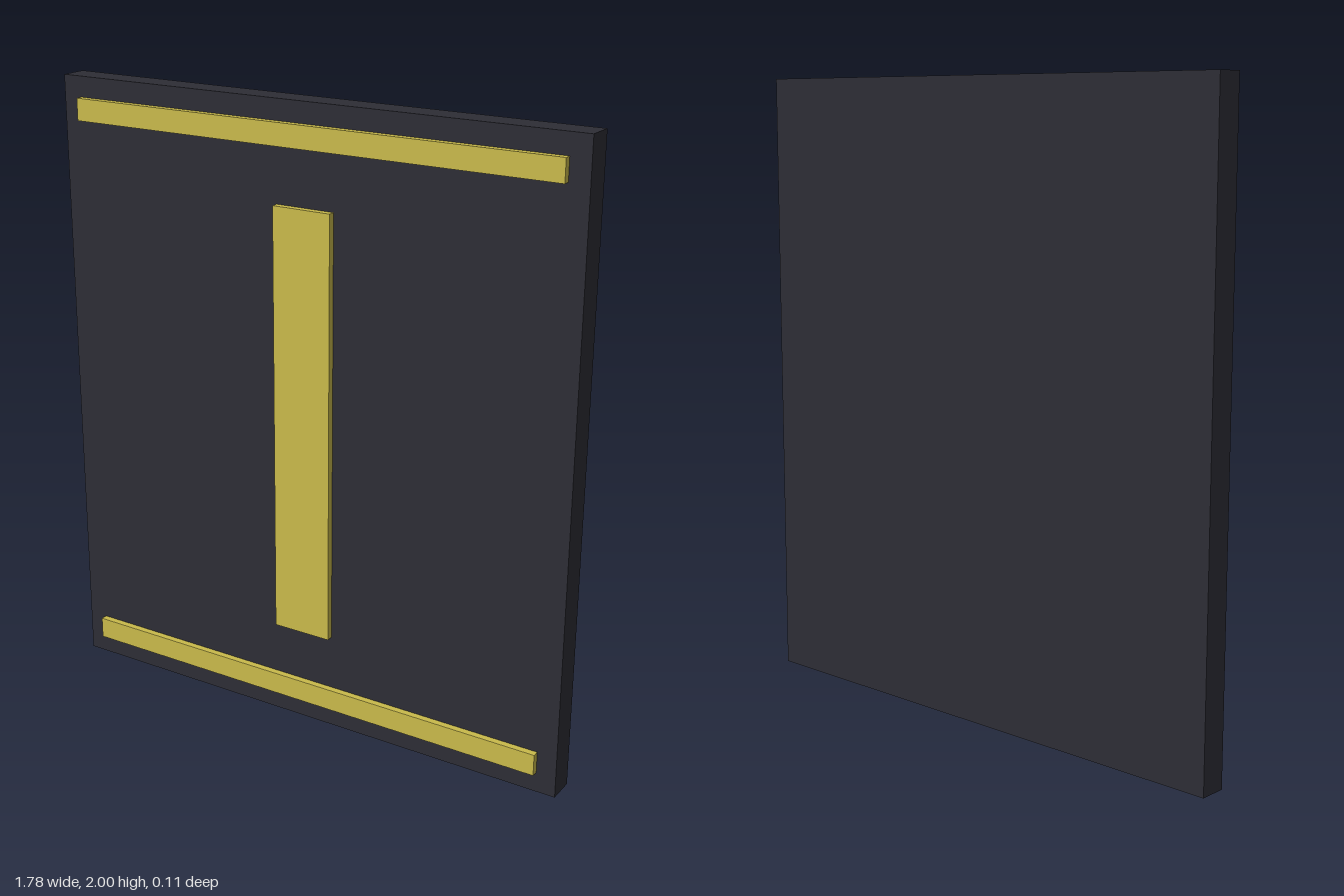
import * as THREE from 'three';

export function createModel() {
  const model = new THREE.Group();
  const dark = new THREE.MeshStandardMaterial({ name: 'darkPanel', color: 0x2d2d35 });
  const gold = new THREE.MeshStandardMaterial({ name: 'gold', color: 0xc9ba4b });

  // Box given by its size and centre
  function addBox(name, material, size, centre) {
    const mesh = new THREE.Mesh(new THREE.BoxGeometry(...size), material);
    mesh.name = name;
    mesh.position.set(...centre);
    model.add(mesh);
  }

  const back = -0.055, face = 0.033, front = 0.055;
  const trimDepth = front - face;
  const trimZ = (front + face) / 2;

  // Flat upright slab
  addBox('panel', dark, [1.778, 2, face - back], [0, 1, (face + back) / 2]);

  // Raised trim on the front face
  addBox('centreBar', gold, [0.197, 1.374, trimDepth], [0, 1.002, trimZ]);
  for (const [name, y] of [['topStrip', 1.9], ['bottomStrip', 0.101]]) {
    addBox(name, gold, [1.65, 0.07, trimDepth], [0, y, trimZ]);
  }
  return model;
}
